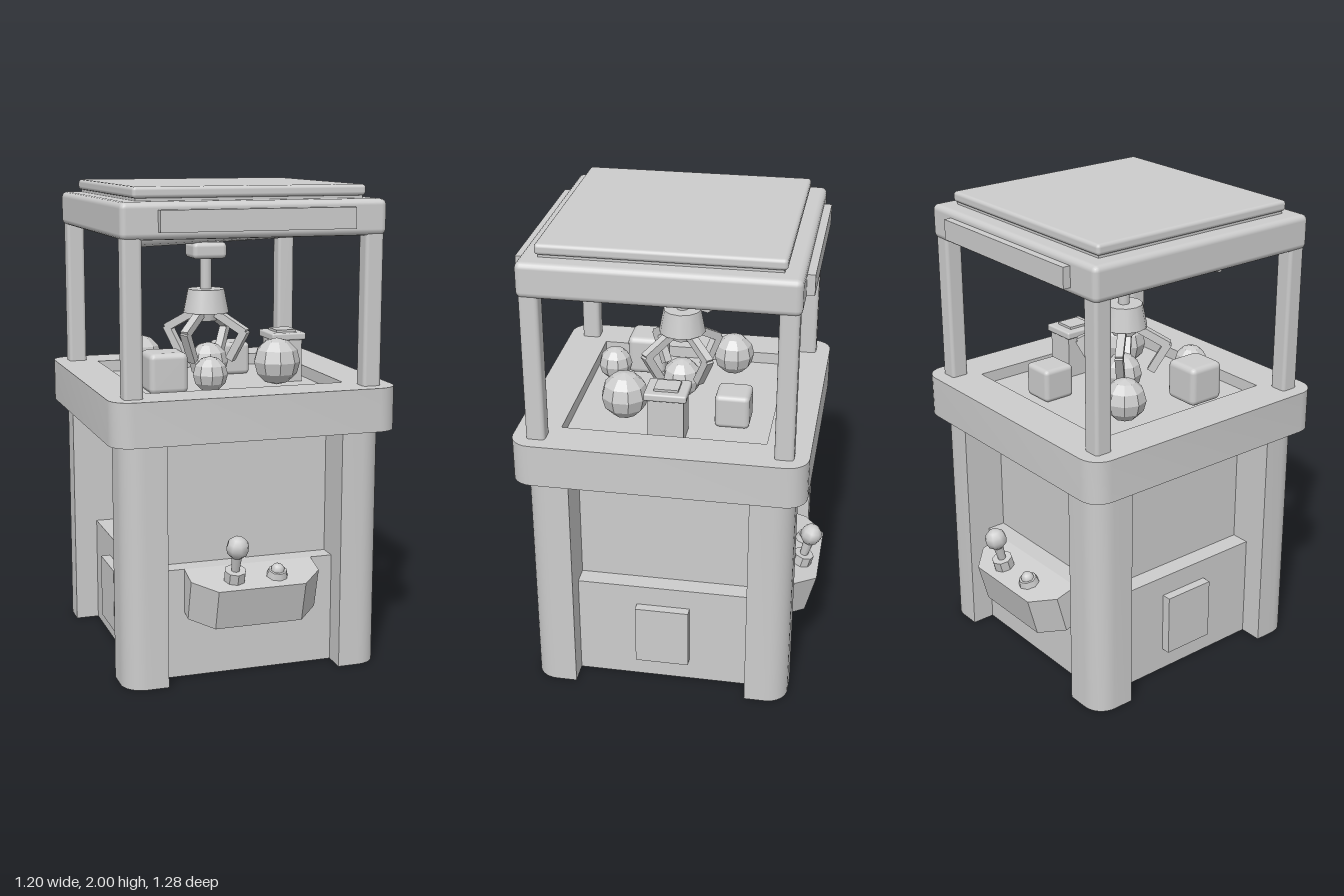
import * as THREE from 'three';
import { toCreasedNormals } from 'three/addons/utils/BufferGeometryUtils.js';
import { RoundedBoxGeometry } from 'three/addons/geometries/RoundedBoxGeometry.js';

const grey = new THREE.MeshStandardMaterial({ color: 0xcccccc });
grey.name = 'plain grey';

function add(parent, name, geometry, x = 0, y = 0, z = 0) {
  const mesh = new THREE.Mesh(geometry, grey);
  mesh.name = name;
  mesh.position.set(x, y, z);
  parent.add(mesh);
  return mesh;
}

const box = (w, h, d) => new THREE.BoxGeometry(w, h, d);
const rounded = (w, h, d, r) => new RoundedBoxGeometry(w, h, d, 2, r);
const facet = (geometry) => toCreasedNormals(geometry, 0.1);

// Upright prism standing on y = 0 from an outline in plan
function prism(shape, height, curveSegments = 3) {
  const g = new THREE.ExtrudeGeometry(shape, { depth: height, bevelEnabled: false, curveSegments });
  return toCreasedNormals(g.rotateX(-Math.PI / 2), 0.6);
}

function roundedSquare(h, r) {
  const s = new THREE.Shape();
  s.absarc(h - r, h - r, r, 0, Math.PI / 2);
  s.absarc(r - h, h - r, r, Math.PI / 2, Math.PI);
  s.absarc(r - h, r - h, r, Math.PI, Math.PI * 1.5);
  s.absarc(h - r, r - h, r, Math.PI * 1.5, Math.PI * 2);
  s.closePath();
  return s;
}

// Bar of square section between two points
function bar(parent, name, a, b, w) {
  const dir = b.clone().sub(a);
  const mesh = add(parent, name, box(w, dir.length() + w * 0.4, w));
  mesh.position.copy(a).add(b).multiplyScalar(0.5);
  mesh.quaternion.setFromUnitVectors(new THREE.Vector3(0, 1, 0), dir.normalize());
}

function cabinet() {
  const g = new THREE.Group();
  g.name = 'cabinet';
  add(g, 'core', box(0.74, 1.01, 0.74), 0, 0.505, 0);
  add(g, 'lowerPanelsX', box(0.9, 0.46, 0.74), 0, 0.23, 0);
  add(g, 'lowerPanelsZ', box(0.74, 0.46, 0.9), 0, 0.23, 0);

  // Corner columns, rounded on the outside
  const s = new THREE.Shape();
  s.moveTo(0.37, 0.37);
  s.lineTo(0.55, 0.37);
  s.absarc(0.46, 0.46, 0.09, 0, Math.PI / 2);
  s.lineTo(0.37, 0.55);
  s.closePath();
  const column = prism(s, 1.01, 4);
  for (let i = 0; i < 4; i++) add(g, 'cornerColumn', column).rotation.y = i * Math.PI / 2;

  // Side doors
  for (const side of [-1, 1]) add(g, 'door', box(0.05, 0.27, 0.23), side * 0.465, 0.235, 0);
  return g;
}

function controlPanel() {
  const g = new THREE.Group();
  g.name = 'controlPanel';
  const outline = [[-0.275, 0], [-0.275, -0.1], [-0.185, -0.19], [0.185, -0.19], [0.275, -0.1], [0.275, 0]];
  add(g, 'controlShelf', prism(new THREE.Shape(outline.map((p) => new THREE.Vector2(...p))), 0.176), 0, -0.176, 0);

  // Joystick
  add(g, 'joystickBase', facet(new THREE.CylinderGeometry(0.045, 0.045, 0.05, 8)), -0.095, 0.02, 0.11);
  add(g, 'joystickStick', new THREE.CylinderGeometry(0.024, 0.017, 0.09, 8), -0.095, 0.08, 0.11);
  add(g, 'joystickBall', new THREE.SphereGeometry(0.048, 8, 6), -0.095, 0.15, 0.11);

  // Push button
  add(g, 'buttonRing', new THREE.CylinderGeometry(0.038, 0.046, 0.03, 8), 0.088, 0.012, 0.11);
  add(g, 'buttonCap', new THREE.SphereGeometry(0.03, 8, 5), 0.088, 0.025, 0.11);

  g.position.set(0, 0.46, 0.45);
  g.rotation.x = THREE.MathUtils.degToRad(15);
  return g;
}

function tray() {
  const g = new THREE.Group();
  g.name = 'prizeTray';
  const s = roundedSquare(0.6, 0.088);
  const h = 0.42;
  s.holes.push(new THREE.Path([[-h, -h], [-h, h], [h, h], [h, -h]].map((p) => new THREE.Vector2(...p))));
  add(g, 'rim', prism(s, 0.18, 3), 0, 1.01, 0);
  add(g, 'trayFloor', box(2 * h, 0.13, 2 * h), 0, 1.075, 0);
  return g;
}

function canopy() {
  const g = new THREE.Group();
  g.name = 'canopy';
  for (const x of [-0.5, 0.5])
    for (const z of [-0.5, 0.5]) add(g, 'post', rounded(0.078, 0.66, 0.078, 0.015), x, 1.5, z);
  add(g, 'roof', rounded(1.095, 0.145, 1.095, 0.025), 0, 1.8725, 0);
  add(g, 'roofCap', rounded(0.965, 0.045, 0.965, 0.015), 0, 1.9775, 0);
  add(g, 'roofCapNeck', box(0.94, 0.03, 0.94), 0, 1.95, 0);
  for (const z of [-0.555, 0.555]) add(g, 'signBoard', box(0.8, 0.085, 0.05), 0, 1.873, z);
  return g;
}

function claw() {
  const g = new THREE.Group();
  g.name = 'claw';
  add(g, 'rail', new THREE.CylinderGeometry(0.037, 0.037, 0.93, 8).rotateX(Math.PI / 8).rotateZ(Math.PI / 2), 0.04, 1.782, 0);
  add(g, 'carriage', rounded(0.15, 0.07, 0.14, 0.02), 0, 1.715, 0);
  add(g, 'rod', new THREE.CylinderGeometry(0.024, 0.024, 0.16, 10), 0, 1.61, 0);
  add(g, 'clawHead', new THREE.CylinderGeometry(0.08, 0.1, 0.1, 12), 0, 1.5, 0);
  add(g, 'clawHub', new THREE.CylinderGeometry(0.06, 0.05, 0.04, 8), 0, 1.435, 0);

  // Four diagonal fingers, each with an elbow
  for (let i = 0; i < 4; i++) {
    const finger = new THREE.Group();
    finger.name = 'clawFinger';
    finger.rotation.y = Math.PI / 4 + i * Math.PI / 2;
    const v = (r, y) => new THREE.Vector3(r, y, 0);
    bar(finger, 'fingerUpper', v(0.05, 1.45), v(0.185, 1.375), 0.034);
    bar(finger, 'fingerLower', v(0.185, 1.375), v(0.12, 1.26), 0.034);
    g.add(finger);
  }
  g.position.x = -0.04;
  return g;
}

function prizes() {
  const g = new THREE.Group();
  g.name = 'prizes';
  const balls = [
    [0.21, 1.255, 0.2, 0.1], [-0.12, 1.235, 0.31, 0.073],
    [-0.03, 1.235, 0, 0.085], [-0.28, 1.245, -0.19, 0.09],
  ];
  for (const [x, y, z, r] of balls) add(g, 'ball', facet(new THREE.SphereGeometry(r, 9, 6)), x, y, z);

  add(g, 'cube', rounded(0.165, 0.17, 0.165, 0.025), -0.28, 1.235, 0.19);
  add(g, 'cube', rounded(0.145, 0.145, 0.145, 0.02), 0.15, 1.21, -0.25);

  // Gift box with lid
  add(g, 'giftBox', box(0.125, 0.2, 0.15), 0.31, 1.23, 0);
  add(g, 'giftLid', rounded(0.155, 0.032, 0.175, 0.008), 0.31, 1.338, 0);
  add(g, 'giftLidTop', box(0.09, 0.012, 0.1), 0.31, 1.358, 0);
  return g;
}

export function createModel() {
  const model = new THREE.Group();
  model.name = 'clawMachine';
  model.add(cabinet(), tray(), canopy(), claw(), prizes());

  // Matching controls on front and back
  for (const turn of [0, Math.PI]) {
    const side = new THREE.Group();
    side.name = turn ? 'backControls' : 'frontControls';
    side.rotation.y = turn;
    side.add(controlPanel());
    model.add(side);
  }
  return model;
}
